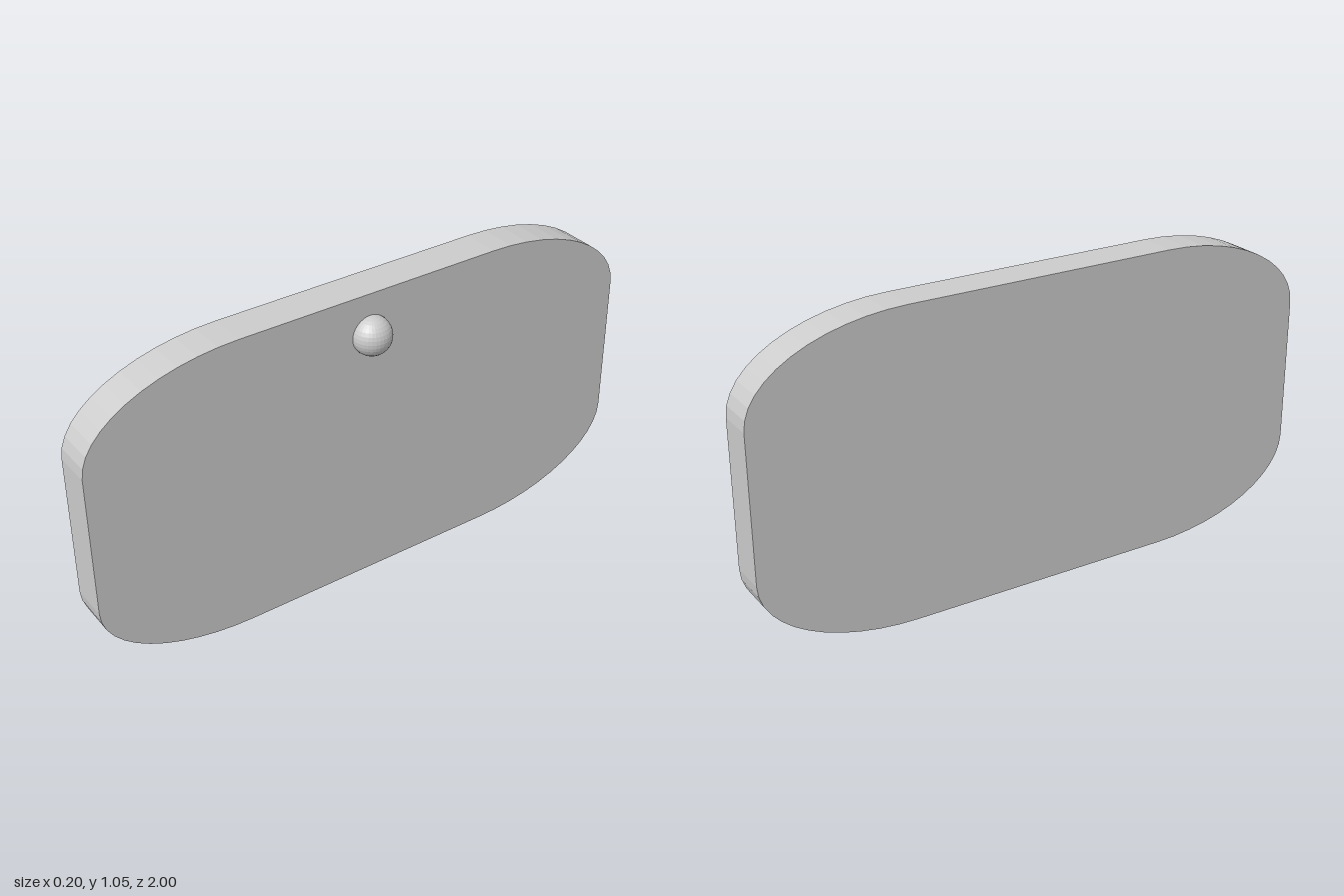
import * as THREE from 'three';

export function createModel() {
  const model = new THREE.Group();
  const material = new THREE.MeshStandardMaterial({ color: 0xcccccc, flatShading: true });

  // Slab outline: a rectangle with elliptical corners
  const halfLength = 1, height = 1.055, rz = 0.53, ry = 0.28;
  const outline = new THREE.Shape();
  const corners = [[1, 0, -1], [1, 1, 0], [-1, 1, 1], [-1, 0, 2]];
  for (const [side, top, quarter] of corners) {
    const start = quarter * Math.PI / 2;
    outline.absellipse(
      side * (halfLength - rz), top ? height - ry : ry,
      rz, ry, start, start + Math.PI / 2, false, 0);
  }
  outline.closePath();

  // Slab, extruded along x
  const slabGeometry = new THREE.ExtrudeGeometry(outline, {
    depth: 0.131, curveSegments: 6, bevelEnabled: false,
  });
  slabGeometry.rotateY(Math.PI / 2).translate(-0.103, 0, 0);
  const slab = new THREE.Mesh(slabGeometry, material);
  slab.name = 'slab';
  model.add(slab);

  // Round knob, partly sunk into the left face
  const knob = new THREE.Mesh(new THREE.SphereGeometry(0.066, 32, 16), material);
  knob.name = 'knob';
  knob.position.set(0.036, 0.915, 0.008);
  model.add(knob);

  return model;
}
